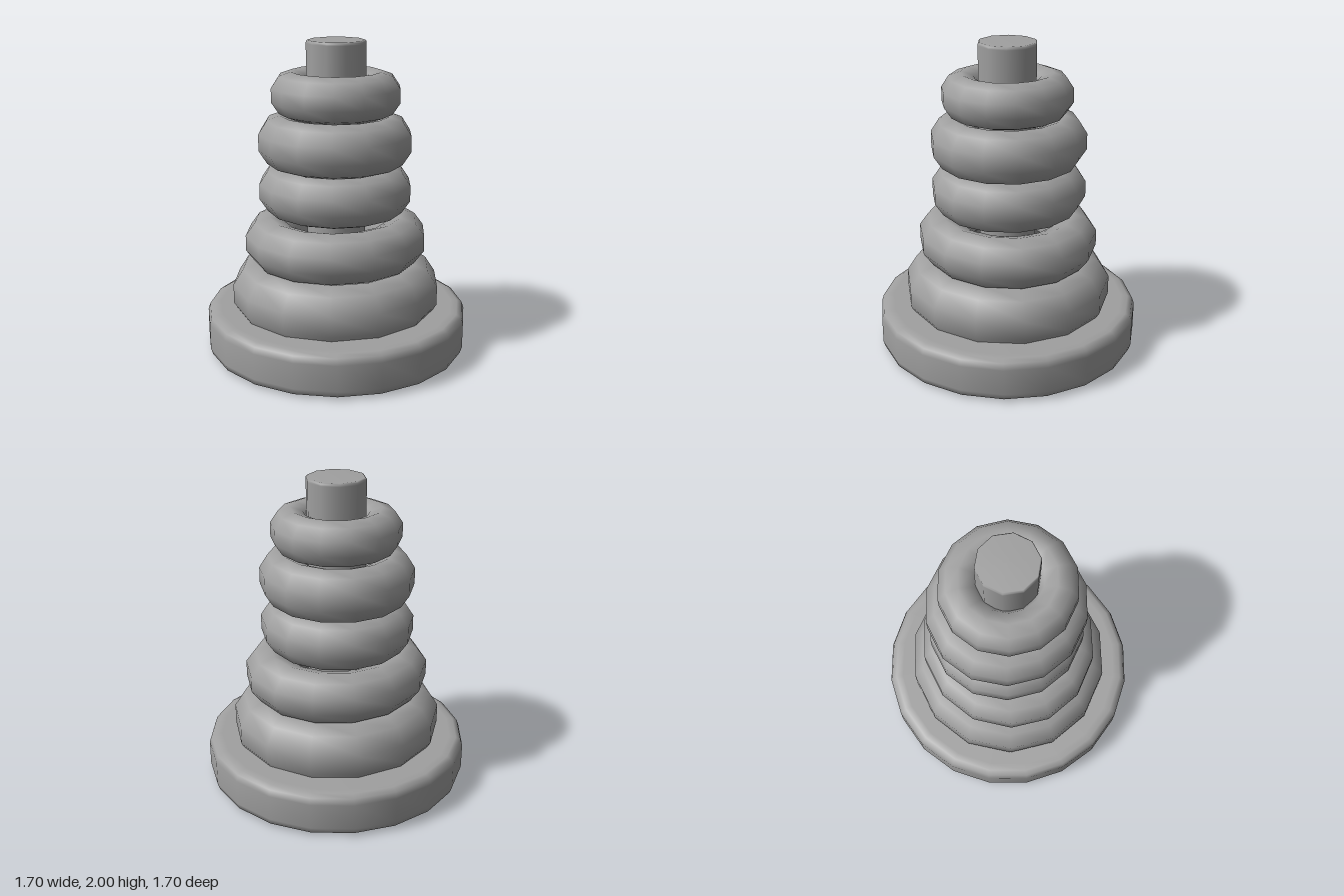
import * as THREE from 'three';

const material = new THREE.MeshStandardMaterial({ color: 0xa0a0a0 });

// Lathe with a vertex pointing along +x
function lathe(points, sides) {
  const profile = points.map(([r, y]) => new THREE.Vector2(r, y));
  return new THREE.LatheGeometry(profile, sides, Math.PI / 2);
}

// Ten-sided tube section with its flat side outwards; the seam lies inside the hole
function ringGeometry(outer, tubeX, tubeY) {
  const major = outer - tubeX * Math.cos(Math.PI / 10);
  const points = [];
  for (let i = 0; i <= 10; i++) {
    const a = -0.9 * Math.PI + (i * Math.PI) / 5;
    points.push([major + tubeX * Math.cos(a), tubeY * Math.sin(a)]);
  }
  return lathe(points, 14);
}

export function createModel() {
  const model = new THREE.Group();
  model.name = 'stackingRings';

  function add(name, geometry) {
    const mesh = new THREE.Mesh(geometry, material);
    mesh.name = name;
    model.add(mesh);
    return mesh;
  }

  // Round base with softened rims
  add('base', lathe([
    [0, 0], [0.78, 0], [0.805, 0.003], [0.837, 0.02], [0.85, 0.06],
    [0.85, 0.225], [0.837, 0.265], [0.805, 0.282], [0.76, 0.285], [0, 0.285],
  ], 20));

  // Centre pole with a slightly eased top edge
  add('pole', lathe([
    [0.187, 0.2], [0.187, 1.98], [0.186, 1.992], [0.178, 2], [0, 2],
  ], 10));

  // Rings, bottom to top: outer radius, tube half width, tube half height, y, z, depth scale
  const rings = [
    [0.677, 0.18, 0.203, 0.382, 0, 0.985],
    [0.592, 0.165, 0.162, 0.725, 0, 0.96],
    [0.484, 0.145, 0.16, 1.053, -0.01, 1.025],
    [0.484, 0.145, 0.168, 1.37, -0.01, 1.025],
    [0.406, 0.13, 0.143, 1.667, 0, 1.015],
  ];
  rings.forEach(([outer, tubeX, tubeY, y, z, depth], i) => {
    const ring = add(`ring${i + 1}`, ringGeometry(outer, tubeX, tubeY));
    ring.position.set(-0.002, y, z);
    ring.scale.z = depth;
  });

  return model;
}
